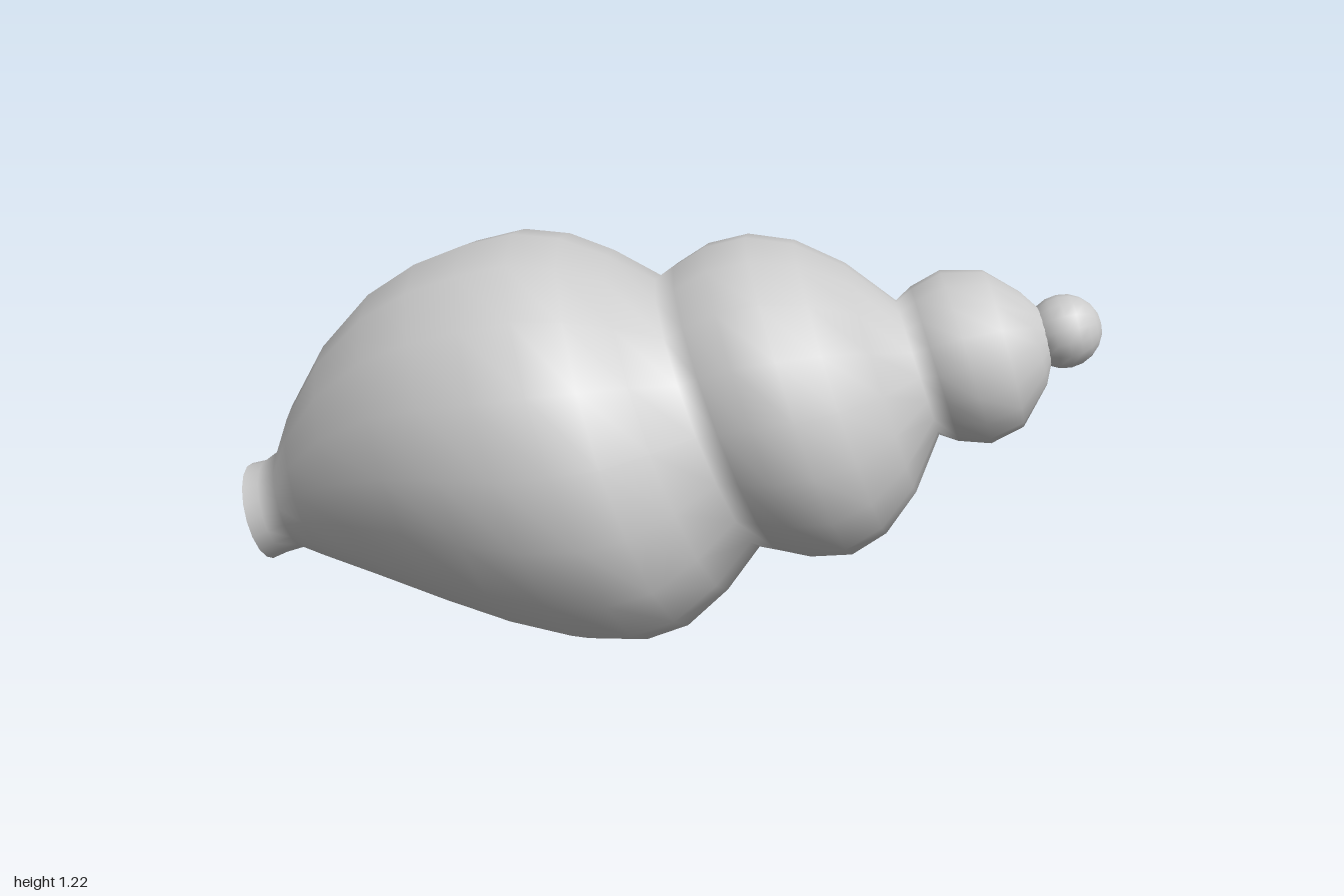
import * as THREE from 'three';

const SIDES = 18;
// Shell axis (mouth to tip) with its sideways and upward directions
const START = new THREE.Vector3(-0.906, 0.33, 0.78);
const AXIS = new THREE.Vector3(0.731, 0.25, -0.629).normalize();
const SIDE = new THREE.Vector3(0, 1, 0).cross(AXIS).normalize().negate();
const UP = new THREE.Vector3().crossVectors(AXIS, SIDE);
if (UP.y < 0) UP.negate();
if (new THREE.Vector3().crossVectors(AXIS, UP).dot(SIDE) < 0) SIDE.negate();

const at = (t, side, up) => START.clone()
  .addScaledVector(AXIS, t).addScaledVector(SIDE, side).addScaledVector(UP, up);

// Rings: [distance along axis, radius, upward shift, lean of the ring]
function loft(rings) {
  const pos = [], index = [];
  for (const [t, r, lift = 0, lean = 0] of rings) {
    for (let j = 0; j < SIDES; j++) {
      const a = ((j + 0.5) / SIDES) * Math.PI * 2;
      const p = at(t - lean * Math.sin(a), r * Math.cos(a), lift + r * Math.sin(a));
      pos.push(p.x, p.y, p.z);
    }
  }
  for (let i = 0; i < rings.length - 1; i++) {
    for (let j = 0; j < SIDES; j++) {
      const a = i * SIDES + j, b = i * SIDES + (j + 1) % SIDES;
      index.push(a, a + SIDES, b, b, a + SIDES, b + SIDES);
    }
  }
  const g = new THREE.BufferGeometry();
  g.setAttribute('position', new THREE.Float32BufferAttribute(pos, 3));
  g.setIndex(index);
  g.computeVertexNormals();
  return g;
}

export function createModel() {
  const group = new THREE.Group();
  const material = new THREE.MeshStandardMaterial({ color: 0xcccccc, side: THREE.DoubleSide });
  const add = (name, geometry) => {
    const mesh = new THREE.Mesh(geometry, material);
    mesh.name = name;
    group.add(mesh);
    return mesh;
  };

  // Whorls, from the narrow canal to the spire
  add('whorls', loft([
    [0, 0.15], [0.05, 0.145, 0.005], [0.11, 0.155, 0.02], [0.2, 0.245, 0.06],
    [0.36, 0.37, 0.09, 0.01], [0.55, 0.49, 0.09, 0.02], [0.72, 0.57, 0.065, 0.03],
    [0.88, 0.62, 0.035, 0.04], [1.04, 0.64, 0.015, 0.05], [1.17, 0.61, 0, 0.05],
    [1.3, 0.53, 0, 0.06], [1.42, 0.425, 0, 0.06],
    [1.48, 0.45, 0, 0.06], [1.57, 0.485, 0, 0.05], [1.69, 0.495, -0.01, 0.05],
    [1.81, 0.45, -0.015, 0.04], [1.93, 0.35, -0.015, 0.03], [2.04, 0.205, -0.01, 0.02],
    [2.09, 0.235, -0.01, 0.02], [2.18, 0.262, -0.01, 0.02], [2.29, 0.235, -0.01, 0.01],
    [2.38, 0.14, 0, 0.01], [2.42, 0.07]
  ]));

  // Closed end of the canal
  add('mouth', loft([[0.01, 0], [0, 0.15]]));

  // Round bead on the spire
  const tip = add('tip', new THREE.SphereGeometry(0.107, 16, 10));
  tip.position.copy(at(2.468, 0, 0));
  tip.quaternion.setFromUnitVectors(new THREE.Vector3(0, 1, 0), AXIS);

  return group;
}
